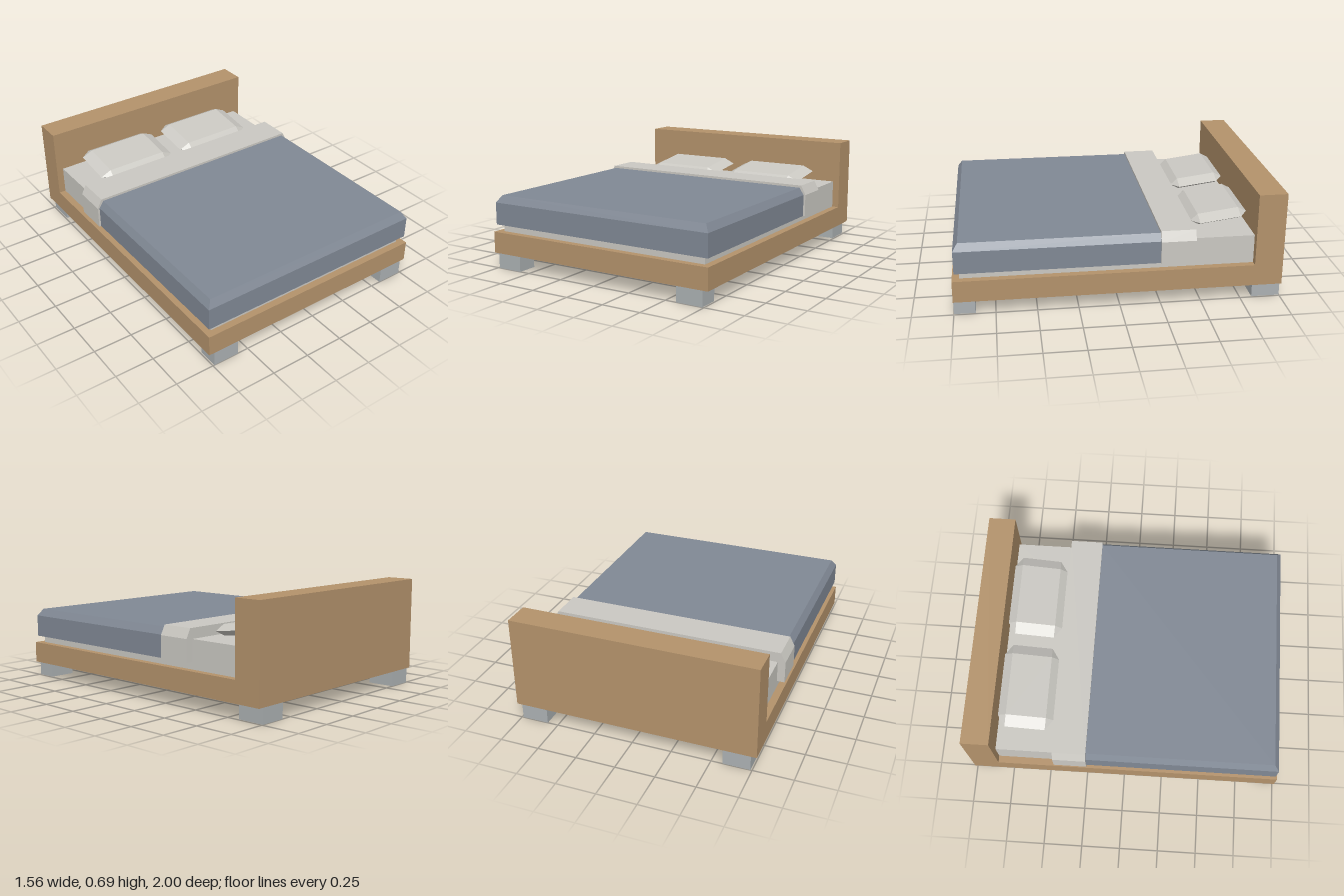
import * as THREE from 'three';
import { ConvexGeometry } from 'three/addons/geometries/ConvexGeometry.js';

const mat = (name, color) => {
  const m = new THREE.MeshStandardMaterial({ color });
  m.name = name;
  return m;
};

export function createModel() {
  const bed = new THREE.Group();
  bed.name = 'bed';
  const wood = mat('wood', 0xb3926b);
  const metal = mat('grey metal', 0xabb0b2);
  const linen = mat('linen', 0xcac8c2);
  const wool = mat('blue grey wool', 0x808894);

  const add = (name, geometry, material) => {
    const mesh = new THREE.Mesh(geometry, material);
    mesh.name = name;
    bed.add(mesh);
    return mesh;
  };
  // Box given by its limits on each axis
  const box = (name, material, [x0, x1], [y0, y1], [z0, z1]) =>
    add(name, new THREE.BoxGeometry(x1 - x0, y1 - y0, z1 - z0), material)
      .position.set((x0 + x1) / 2, (y0 + y1) / 2, (z0 + z1) / 2);
  // Corners of a level rectangle
  const rect = (w, y, z0, z1) =>
    [[-w, z0], [w, z0], [w, z1], [-w, z1]].map(([x, z]) => new THREE.Vector3(x, y, z));

  // Wooden base, headboard and legs
  box('frame', wood, [-0.775, 0.775], [0.095, 0.23], [-0.825, 1]);
  box('headboard', wood, [-0.775, 0.775], [0.095, 0.685], [-1, -0.825]);
  for (const s of [-1, 1]) {
    const xs = s > 0 ? [0.57, 0.74] : [-0.74, -0.57];
    box('frontLeg', metal, xs, [0, 0.095], [0.87, 1]);
    box('backLeg', metal, xs, [0, 0.095], [-1, -0.825]);
  }

  box('mattress', linen, [-0.73, 0.73], [0.23, 0.41], [-0.825, 0.955]);

  // Blanket, bevelled along the sides and the foot
  add('blanket', new ConvexGeometry([
    ...rect(0.765, 0.275, -0.245, 0.985),
    ...rect(0.765, 0.415, -0.245, 0.985),
    ...rect(0.735, 0.46, -0.245, 0.955),
  ]), wool);

  // Folded sheet band, bevelled along the sides only
  add('sheetFold', new ConvexGeometry([
    ...rect(0.778, 0.275, -0.457, -0.245),
    ...rect(0.778, 0.415, -0.457, -0.245),
    ...rect(0.747, 0.475, -0.457, -0.245),
  ]), linen);

  // Pillows: eight-sided rim between two smaller flat panels
  const pillow = new ConvexGeometry([
    ...rect(0.278, 0, -0.128, 0.128),
    ...rect(0.207, 0, -0.177, 0.177),
    ...rect(0.207, 0.035, -0.128, 0.128),
    ...rect(0.207, -0.035, -0.128, 0.128),
  ]);
  for (const s of [-1, 1]) {
    const mesh = add(s > 0 ? 'leftPillow' : 'rightPillow', pillow, linen);
    mesh.position.set(s * 0.318, 0.463, -0.646);
    mesh.rotation.x = 0.13;
  }
  return bed;
}
